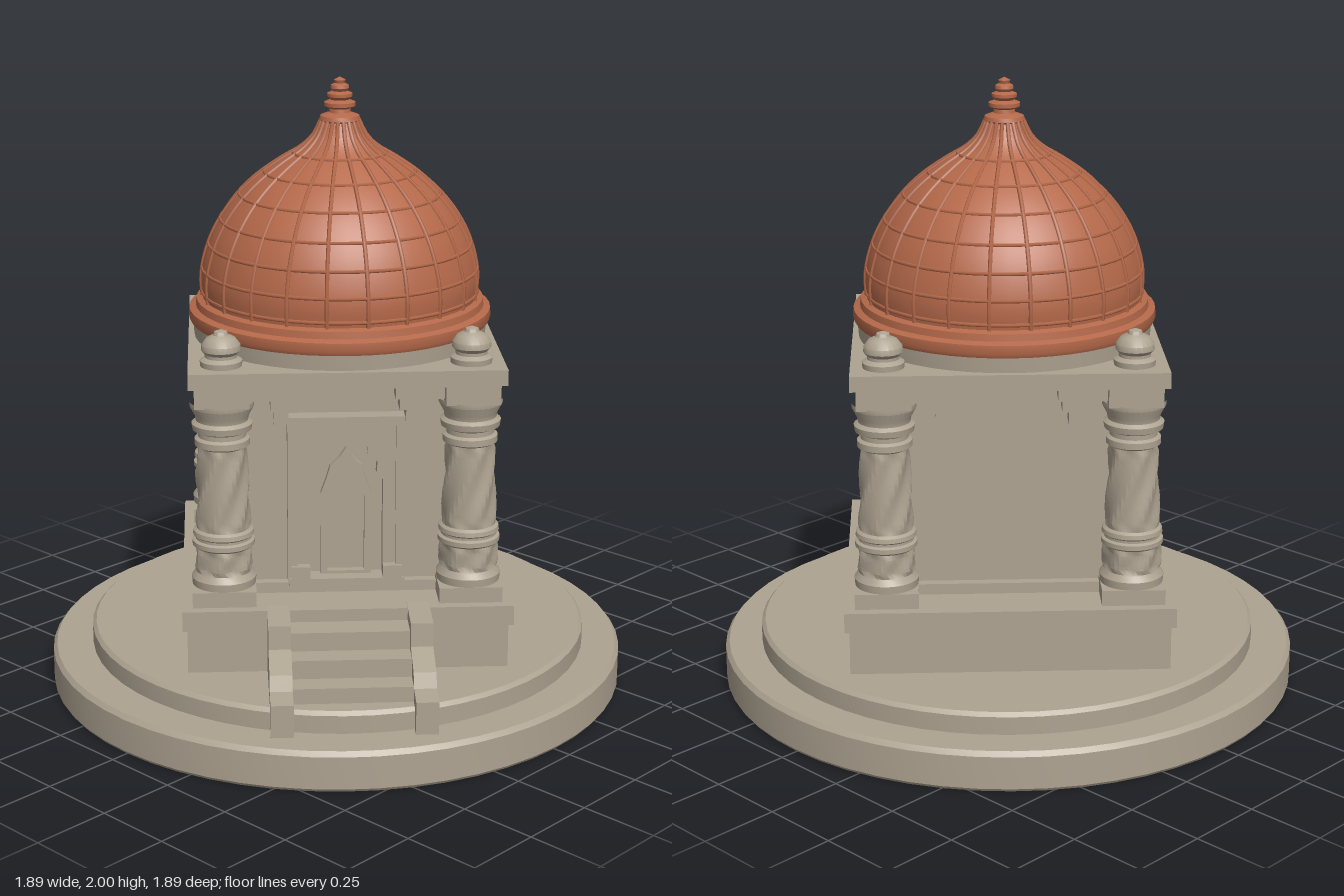
import * as THREE from 'three';
import { toCreasedNormals } from 'three/addons/utils/BufferGeometryUtils.js';

const stone = new THREE.MeshStandardMaterial({ color: 0xaea391 });
stone.name = 'warm grey stone';
const terracotta = new THREE.MeshStandardMaterial({ color: 0xb5694a });
terracotta.name = 'terracotta';

const V2 = (p) => new THREE.Vector2(p[0], p[1]);

function add(parent, name, geometry, material = stone, x = 0, y = 0, z = 0) {
  const mesh = new THREE.Mesh(geometry, material);
  mesh.name = name;
  mesh.position.set(x, y, z);
  parent.add(mesh);
  return mesh;
}

// Box given by its centre in x and z and its bottom and top heights
function slab(parent, name, w, d, y0, y1, x = 0, z = 0) {
  return add(parent, name, new THREE.BoxGeometry(w, y1 - y0, d), stone, x, (y0 + y1) / 2, z);
}

function turned(points, segments = 32, crease = 0.6) {
  return toCreasedNormals(new THREE.LatheGeometry(points.map(V2), segments), crease);
}

// Column with rings and spiral fluting on the two shaft sections
function columnGeometry() {
  const pts = [[0.1, 0.46], [0.102, 0.485], [0.092, 0.5]];
  for (let i = 0; i <= 5; i++) pts.push([0.089, 0.505 + i * 0.016]);
  pts.push([0.098, 0.592], [0.098, 0.607], [0.088, 0.612], [0.088, 0.62], [0.096, 0.626], [0.094, 0.64]);
  for (let i = 0; i <= 14; i++) pts.push([0.084 - i * 0.0007, 0.647 + i * 0.019]);
  pts.push([0.086, 0.92], [0.086, 0.94], [0.075, 0.947], [0.075, 0.962], [0.092, 0.97],
    [0.095, 0.99], [0.082, 1.0], [0.084, 1.015], [0.1, 1.045], [0.1, 1.06]);
  const geo = new THREE.LatheGeometry(pts.map(V2), 36);
  const p = geo.attributes.position;
  for (let i = 0; i < p.count; i++) {
    const x = p.getX(i), y = p.getY(i), z = p.getZ(i);
    const fluted = (y > 0.51 && y < 0.583) || (y > 0.65 && y < 0.91);
    if (!fluted) continue;
    const k = 1 + 0.07 * Math.cos(6 * Math.atan2(z, x) + 34 * y);
    p.setXYZ(i, x * k, y, z * k);
  }
  return toCreasedNormals(geo, 0.5);
}

// Outline with a stepped, cusped arch, mirrored about x = 0
function archPoints(half) {
  return half.concat(half.slice().reverse().filter((p) => p[0] > 0).map((p) => [-p[0], p[1]])).map(V2);
}

function extrude(shape, depth) {
  return new THREE.ExtrudeGeometry(shape, { depth, bevelEnabled: false });
}

function buildDoor(parent) {
  const door = new THREE.Group();
  door.name = 'door';
  door.position.z = 0.335;
  parent.add(door);

  const outer = [[0.175, 0.45], [0.175, 0.99]];
  const opening = [[0.115, 0.47], [0.115, 0.79], [0.095, 0.81], [0.098, 0.85], [0.068, 0.87],
    [0.065, 0.9], [0.035, 0.915], [0, 0.955]];
  const frame = new THREE.Shape(archPoints(outer));
  frame.holes.push(new THREE.Path(archPoints(opening)));
  add(door, 'doorFrame', extrude(frame, 0.045));

  // Raised outer border
  const border = new THREE.Shape(archPoints([[0.185, 0.45], [0.185, 1.0]]));
  border.holes.push(new THREE.Path(archPoints([[0.155, 0.46], [0.155, 0.97]])));
  add(door, 'doorBorder', extrude(border, 0.06));

  // Pointed leaf with a raised rim
  const leaf = [[0.08, 0.46], [0.08, 0.74], [0.062, 0.79], [0.05, 0.83], [0.02, 0.86], [0, 0.89]];
  const inner = [[0.058, 0.48], [0.058, 0.73], [0.042, 0.78], [0.03, 0.81], [0, 0.845]];
  const rim = new THREE.Shape(archPoints(leaf));
  rim.holes.push(new THREE.Path(archPoints(inner)));
  add(door, 'doorLeafRim', extrude(rim, 0.03));

  slab(door, 'doorSill', 0.36, 0.09, 0.44, 0.47, 0, 0.03);
  for (const s of [-1, 1]) slab(door, 'doorPostFoot', 0.06, 0.08, 0.46, 0.51, s * 0.145, 0.035);
}

function buildStairs(parent) {
  const stairs = new THREE.Group();
  stairs.name = 'stairs';
  parent.add(stairs);
  for (let i = 0; i < 3; i++) {
    const end = 0.61 + i * 0.075;
    slab(stairs, 'step', 0.4, end - 0.45, 0.14, 0.37 - i * 0.06, 0, (end + 0.45) / 2);
  }
  // Stepped side rails
  const rail = new THREE.Shape([[0.48, 0.13], [0.845, 0.13], [0.845, 0.235], [0.765, 0.245], [0.745, 0.29],
    [0.64, 0.33], [0.635, 0.405], [0.48, 0.412]].map(V2));
  const geo = extrude(rail, 0.07).rotateY(-Math.PI / 2);
  for (const s of [-1, 1]) add(stairs, 'stairRail', geo, stone, s * 0.22 + 0.035);
}

function buildDome(parent) {
  const dome = new THREE.Group();
  dome.name = 'dome';
  parent.add(dome);
  add(dome, 'drum', turned([[0, 1.16], [0.47, 1.16], [0.475, 1.225], [0, 1.225]], 48), stone);
  add(dome, 'domeRim', turned([[0.4, 1.222], [0.482, 1.222], [0.488, 1.235], [0.486, 1.262], [0.465, 1.27],
    [0.462, 1.292], [0.44, 1.3]], 48), terracotta);

  // Shell: near hemisphere that sweeps up into a narrow neck
  const curve = new THREE.CatmullRomCurve3([[0.442, 1.29], [0.446, 1.36], [0.434, 1.43], [0.405, 1.51],
    [0.352, 1.595], [0.28, 1.67], [0.19, 1.735], [0.125, 1.775], [0.085, 1.815], [0.06, 1.865]]
    .map(([r, y]) => new THREE.Vector3(r, y, 0)));
  const profile = curve.getPoints(36);
  add(dome, 'domeShell', turned(profile.map((p) => [p.x, p.y]), 48, 1), terracotta);

  const ribGeo = new THREE.TubeGeometry(curve, 28, 0.007, 5);
  const ribs = 22;
  for (let i = 0; i < ribs; i++) add(dome, 'domeRib', ribGeo, terracotta).rotation.y = (i / ribs) * Math.PI * 2;
  for (const y of [1.315, 1.39, 1.47, 1.55, 1.63, 1.7, 1.76]) {
    const k = profile.findIndex((p) => p.y >= y);
    const a = profile[k - 1], b = profile[k];
    const r = a.x + ((b.x - a.x) * (y - a.y)) / (b.y - a.y);
    add(dome, 'domeBand', new THREE.TorusGeometry(r, 0.006, 5, 48).rotateX(Math.PI / 2), terracotta, 0, y);
  }

  add(dome, 'finial', turned([[0.058, 1.855], [0.066, 1.865], [0.062, 1.878], [0.035, 1.888], [0.033, 1.9],
    [0.05, 1.908], [0.05, 1.92], [0.03, 1.928], [0.04, 1.938], [0.04, 1.948], [0.024, 1.955], [0.03, 1.964],
    [0.028, 1.974], [0.016, 1.98], [0.019, 1.99], [0, 2]], 20), terracotta);
}

export function createModel() {
  const model = new THREE.Group();
  model.name = 'domedPavilion';

  // Round ground discs
  add(model, 'baseDisc', turned([[0, 0], [0.94, 0], [0.947, 0.01], [0.947, 0.115], [0.935, 0.13], [0, 0.13]], 56));
  add(model, 'upperDisc', turned([[0, 0.12], [0.82, 0.12], [0.82, 0.188], [0.808, 0.2], [0, 0.2]], 56),
    stone, 0, 0, -0.007);

  // The pavilion stands diagonally on the discs
  const pavilion = new THREE.Group();
  pavilion.name = 'pavilion';
  pavilion.position.z = -0.017;
  pavilion.rotation.y = THREE.MathUtils.degToRad(46.7);
  model.add(pavilion);

  slab(pavilion, 'plinth', 1.01, 1.01, 0.19, 0.345);
  slab(pavilion, 'plinthCap', 1.04, 1.04, 0.345, 0.41);
  slab(pavilion, 'wallFooting', 0.74, 0.74, 0.41, 0.445);
  slab(pavilion, 'chamber', 0.68, 0.68, 0.41, 1.13);
  slab(pavilion, 'eavesUnder', 0.93, 0.93, 1.112, 1.13);
  slab(pavilion, 'eaves', 0.98, 0.98, 1.122, 1.172);

  // Four corners: pad, column, capital, brackets along both sides, roof knob
  const shaft = columnGeometry();
  const knob = turned([[0.064, 1.165], [0.066, 1.19], [0.05, 1.2], [0.05, 1.21], [0.061, 1.222], [0.06, 1.24],
    [0.045, 1.26], [0.024, 1.27], [0.02, 1.28], [0, 1.287]], 20);
  for (let i = 0; i < 4; i++) {
    const corner = new THREE.Group();
    corner.name = 'corner';
    corner.rotation.y = (i * Math.PI) / 2;
    pavilion.add(corner);
    const c = 0.387;
    slab(corner, 'columnPad', 0.2, 0.2, 0.41, 0.46, c, c);
    add(corner, 'column', shaft, stone, c, 0, c);
    slab(corner, 'capital', 0.17, 0.17, 1.055, 1.12, c, c);
    add(corner, 'roofKnob', knob, stone, c, 0, c);
    for (const swap of [false, true]) {
      const part = (name, len, y0, y1, u) => (swap
        ? slab(corner, name, 0.08, len, y0, y1, c, u)
        : slab(corner, name, len, 0.08, y0, y1, u, c));
      part('bracketArm', 0.22, 1.065, 1.12, 0.26);
      part('bracketStep', 0.075, 1.03, 1.07, 0.2);
      part('bracketDrop', 0.045, 0.99, 1.035, 0.205);
    }
  }

  buildDoor(pavilion);
  buildStairs(pavilion);
  buildDome(pavilion);
  return model;
}
